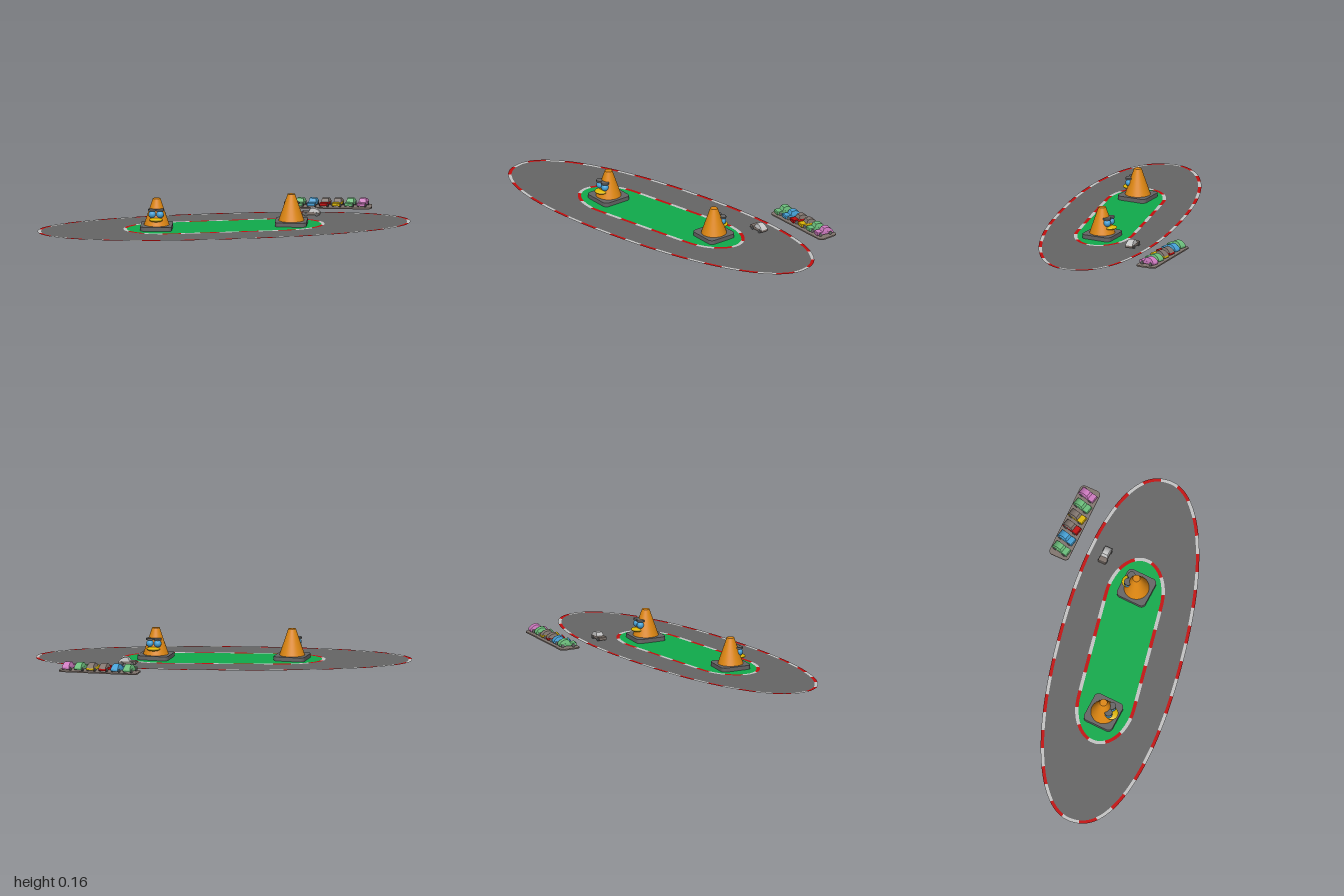
import * as THREE from 'three';

const flat = (name, color, side = THREE.FrontSide) => {
  const m = new THREE.MeshStandardMaterial({ color, side });
  m.name = name;
  return m;
};

function add(parent, name, geometry, material, x = 0, y = 0, z = 0) {
  const mesh = new THREE.Mesh(geometry, material);
  mesh.name = name;
  mesh.position.set(x, y, z);
  parent.add(mesh);
  return mesh;
}

// Closed outline in plan: two superellipse ends joined by a straight run
function outline(straight, a, b, power) {
  const pts = [];
  const n = 160;
  const bend = (v) => Math.sign(v) * Math.abs(v) ** (2 / power);
  for (let i = 0; i < n; i++) {
    const t = ((i + 0.5) / n) * Math.PI * 2;
    const s = Math.sin(t), c = Math.cos(t);
    pts.push(new THREE.Vector3(Math.sign(s) * straight + a * bend(s), 0, -b * bend(c)));
  }
  return new THREE.CatmullRomCurve3(pts, true, 'centripetal');
}

// Evenly spaced points on an outline, moved inward by a distance
function ring(curve, count, inset) {
  curve.arcLengthDivisions = 1000;
  return Array.from({ length: count }, (_, i) => {
    const p = curve.getPointAt(i / count), t = curve.getTangentAt(i / count);
    return new THREE.Vector2(p.x - t.z * inset, p.z + t.x * inset);
  });
}

// Flat ground area with an optional hole
function ground(points, hole) {
  const shape = new THREE.Shape(points.map((p) => new THREE.Vector2(p.x, -p.y)));
  if (hole) shape.holes.push(new THREE.Path(hole.map((p) => new THREE.Vector2(p.x, -p.y))));
  return new THREE.ShapeGeometry(shape).rotateX(-Math.PI / 2);
}

// Striped kerb: one geometry holding every second dash
function kerb(outer, inner, steps, parity) {
  const pos = [];
  const n = outer.length;
  for (let i = 0; i < n; i++) {
    // half a dash of shift puts a dash centre on the axis
    if (Math.floor((i + steps / 2) / steps) % 2 !== parity) continue;
    const j = (i + 1) % n;
    for (const p of [outer[i], inner[i], outer[j], outer[j], inner[i], inner[j]]) pos.push(p.x, 0, p.y);
  }
  const g = new THREE.BufferGeometry();
  g.setAttribute('position', new THREE.Float32BufferAttribute(pos, 3));
  g.computeVertexNormals();
  return g;
}

// Upright slab with rounded corners in plan, standing on y = 0
function slab(w, d, h, r) {
  const s = new THREE.Shape();
  const x = w / 2, y = d / 2;
  s.absarc(x - r, y - r, r, 0, Math.PI / 2);
  s.absarc(r - x, y - r, r, Math.PI / 2, Math.PI);
  s.absarc(r - x, r - y, r, Math.PI, Math.PI * 1.5);
  s.absarc(x - r, r - y, r, Math.PI * 1.5, Math.PI * 2);
  return new THREE.ExtrudeGeometry(s, { depth: h, bevelEnabled: false, curveSegments: 6 }).rotateX(-Math.PI / 2);
}

// Side profile (forward, up) extruded across the width, front towards +z
function sideProfile(shape, width) {
  return new THREE.ExtrudeGeometry(shape, { depth: width, bevelEnabled: false, curveSegments: 8 })
    .translate(0, 0, -width / 2).rotateY(-Math.PI / 2);
}

export function createModel() {
  const model = new THREE.Group();
  model.name = 'raceTrack';
  const asphalt = flat('asphalt grey', 0x666666, THREE.DoubleSide);
  const grass = flat('grass green', 0x10ab4c, THREE.DoubleSide);
  const red = flat('kerb red', 0xc40d0d, THREE.DoubleSide);
  const white = flat('pale grey', 0xc4c4c4, THREE.DoubleSide);
  const orange = flat('cone orange', 0xe08812);
  const blue = flat('sky blue', 0x46a2d8);
  const yellow = flat('yellow', 0xdfb805);
  const pink = flat('pink', 0xd07cc2);
  const mint = flat('light green', 0x6cc07c);
  const brown = flat('warm grey', 0x82766f);

  // Track surface, kerbs and infield
  const track = new THREE.Group();
  track.name = 'track';
  track.position.z = 0.08;
  model.add(track);
  const outerCurve = outline(0, 1, 0.34, 2.2);
  const innerCurve = outline(0.3, 0.24, 0.16, 2);
  const edges = [[outerCurve, 44, 'outerKerb'], [innerCurve, 24, 'innerKerb']].map(([curve, dashes, name]) => {
    const steps = 6;
    const a = ring(curve, dashes * steps, 0), b = ring(curve, dashes * steps, 0.018);
    add(track, name + 'Red', kerb(a, b, steps, 0), red);
    add(track, name + 'Pale', kerb(a, b, steps, 1), white);
    return [a, b];
  });
  add(track, 'road', ground(edges[0][1], edges[1][0]), asphalt);
  add(track, 'infield', ground(edges[1][1]), grass);

  // Cone characters, facing opposite ways
  for (const side of [-1, 1]) {
    const cone = new THREE.Group();
    cone.name = side < 0 ? 'frontFacingCone' : 'backFacingCone';
    cone.position.set(side * 0.362, 0.0005, 0.08);
    cone.rotation.y = -0.225 + (side > 0 ? Math.PI : 0);
    model.add(cone);
    add(cone, 'coneBase', slab(0.168, 0.168, 0.022, 0.025), asphalt);
    add(cone, 'coneBody', new THREE.CylinderGeometry(0.02, 0.068, 0.142, 32), orange, 0, 0.092, 0);
    for (const x of [-0.021, 0.021]) {
      add(cone, 'eye', new THREE.SphereGeometry(0.02, 20, 14), blue, x, 0.084, 0.041);
      add(cone, 'brow', new THREE.CylinderGeometry(0.021, 0.021, 0.009, 20), asphalt, x, 0.108, 0.04);
    }
    add(cone, 'beak', new THREE.SphereGeometry(1, 24, 14), yellow, 0, 0.056, 0.05).scale.set(0.036, 0.011, 0.034);
  }

  // Small fastback car
  const bodyShape = new THREE.Shape();
  bodyShape.moveTo(-0.047, 0.007);
  bodyShape.lineTo(0.047, 0.007);
  bodyShape.lineTo(0.047, 0.02);
  bodyShape.lineTo(0.043, 0.023);
  bodyShape.lineTo(-0.045, 0.02);
  bodyShape.lineTo(-0.047, 0.016);
  const cabinShape = new THREE.Shape();
  cabinShape.moveTo(-0.047, 0.018);
  cabinShape.lineTo(0.017, 0.018);
  cabinShape.lineTo(0.005, 0.04);
  cabinShape.lineTo(-0.008, 0.042);
  cabinShape.quadraticCurveTo(-0.032, 0.042, -0.047, 0.018);
  const bodyGeo = sideProfile(bodyShape, 0.042);
  const cabinGeo = sideProfile(cabinShape, 0.042);
  // Lean the cabin sides inward towards the roof
  const cp = cabinGeo.attributes.position;
  for (let i = 0; i < cp.count; i++) cp.setX(i, cp.getX(i) * (1 - (cp.getY(i) - 0.018) * 9));
  cabinGeo.computeVertexNormals();
  // Profiles run along x before turning; rotateY(-90) maps forward to +z
  const wheelGeo = new THREE.CylinderGeometry(0.0095, 0.0095, 0.008, 14).rotateZ(Math.PI / 2);
  function car(name, body, cabin) {
    const g = new THREE.Group();
    g.name = name;
    add(g, 'carBody', bodyGeo, body);
    add(g, 'carCabin', cabinGeo, cabin);
    for (const x of [-0.02, 0.02])
      for (const z of [-0.029, 0.029]) add(g, 'wheel', wheelGeo, asphalt, x, 0.0095, z);
    return g;
  }

  // Car park with a row of angled cars
  const lot = new THREE.Group();
  lot.name = 'carPark';
  lot.position.set(0.643, 0, -0.328);
  lot.rotation.y = -0.19;
  model.add(lot);
  add(lot, 'parkingPad', slab(0.427, 0.114, 0.007, 0.022), brown);
  [[mint, mint], [blue, blue], [red, brown], [yellow, brown], [mint, mint], [pink, pink]].forEach(([body, cabin], i) => {
    const c = car('parkedCar', body, cabin);
    c.position.set((i - 2.5) * 0.0665, 0.007, 0);
    c.rotation.y = -0.23;
    lot.add(c);
  });

  // Car driving on the track
  const racer = car('trackCar', brown, white);
  racer.position.set(0.502, 0.0005, -0.126);
  racer.rotation.y = -Math.PI / 2 - 0.19;
  model.add(racer);

  return model;
}
